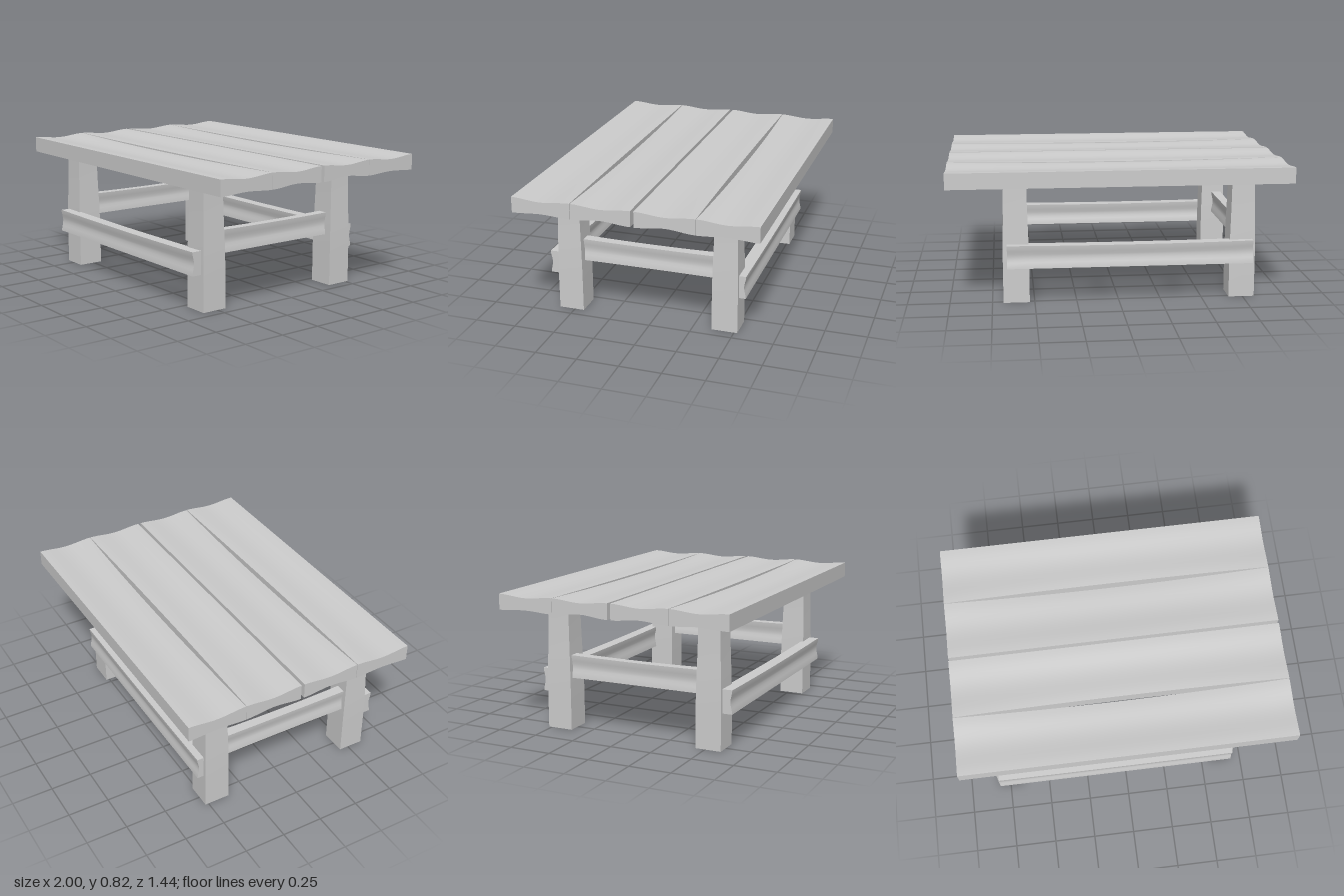
import * as THREE from 'three';

const material = new THREE.MeshStandardMaterial({ color: 0xcccccc });

// Box between two corners, its vertices moved by rule(p, u, v, w); u, v, w run -1..1 along x, y, z
function carvedBox(name, min, max, segments, rule) {
  const size = max.map((m, i) => m - min[i]);
  const geometry = new THREE.BoxGeometry(...size, ...segments);
  geometry.translate(...size.map((s, i) => min[i] + s / 2));
  const pos = geometry.attributes.position;
  const p = new THREE.Vector3();
  for (let i = 0; i < pos.count; i++) {
    p.fromBufferAttribute(pos, i);
    const [u, v, w] = p.toArray().map((c, k) => 2 * (c - min[k]) / size[k] - 1);
    rule(p, u, v, w);
    pos.setXYZ(i, p.x, p.y, p.z);
  }
  geometry.computeVertexNormals();
  const mesh = new THREE.Mesh(geometry, material);
  mesh.name = name;
  return mesh;
}

// 1 in the middle, fading smoothly to 0 at both ends
const hollow = (t) => (1 + Math.cos(Math.PI * t)) / 2;

export function createModel() {
  const table = new THREE.Group();
  table.name = 'table';

  // Top planks: scooped faces, and the edge next to a slot is worn inward
  const planks = [
    { z: [-0.72, -0.366], worn: 1, under: 0.009 },
    { z: [-0.364, -0.01], worn: -1, under: 0.016 },
    { z: [0.01, 0.364], worn: 1, under: 0.014 },
    { z: [0.367, 0.72], worn: -1, under: 0.009 },
  ];
  planks.forEach(({ z, worn, under }, i) => {
    table.add(carvedBox(`plank${i + 1}`, [-1, 0.726, z[0]], [1, 0.82, z[1]], [20, 1, 12], (p, u, v, w) => {
      const slotSide = (1 + worn * w) / 2;
      const middle = 1 - u * u;
      if (v > 0) p.y -= 0.014 * hollow(w) + 0.01 * middle * slotSide ** 2;
      else p.y += under * hollow(w);
      p.z -= worn * 0.014 * middle * slotSide;
    }));
  });

  // Legs: square posts narrowing toward the top
  const legX = { left: [0.53, 0.685], right: [-0.82, -0.665] };
  const legZ = { Front: [0.443, 0.597], Back: [-0.52, -0.364] };
  for (const [side, x] of Object.entries(legX)) {
    for (const [end, z] of Object.entries(legZ)) {
      table.add(carvedBox(`${side}${end}Leg`, [x[0], 0, z[0]], [x[1], 0.72, z[1]], [1, 8, 1], (p, u, v, w) => {
        const taper = 0.01 * THREE.MathUtils.smoothstep(v, -0.4, 1);
        p.x -= u * taper;
        p.z -= w * taper;
      }));
    }
  }

  // Long rails: hollowed faces, fixed to the outside of the legs
  for (const [name, z0, z1] of [['frontRail', 0.582, 0.655], ['backRail', -0.56, -0.487]]) {
    table.add(carvedBox(name, [-0.8, 0.216, z0], [0.66, 0.355, z1], [14, 8, 1], (p, u, v, w) => {
      p.z -= w * 0.011 * hollow(v);
      if (v > 0) p.y -= 0.006 * (1 - u * u);
    }));
  }

  // Short rails: joining the front and back legs
  for (const [name, x0, x1] of [['leftRail', 0.577, 0.64], ['rightRail', -0.797, -0.734]]) {
    table.add(carvedBox(name, [x0, 0.312, -0.44], [x1, 0.45, 0.52], [1, 8, 12], (p, u, v, w) => {
      p.x -= u * (0.01 * hollow(v) + 0.004 * (1 - w * w));
      if (v > 0) p.y -= 0.006 * (1 - w * w);
    }));
  }

  return table;
}
